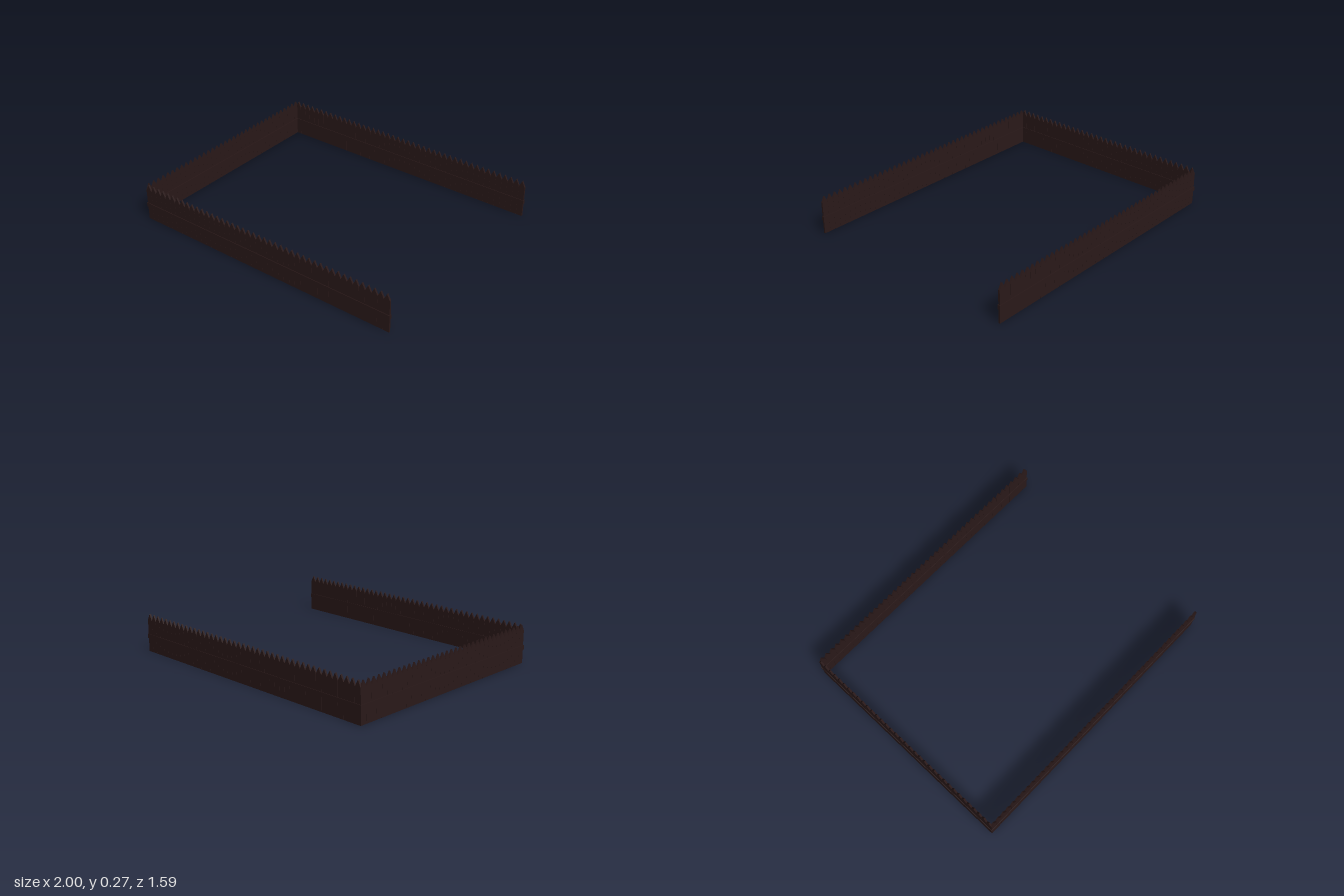
import * as THREE from 'three';

const PEAK = 0.268, SHOULDER = 0.225;   // picket heights
const PICKET_DEPTH = 0.012, RAIL_DEPTH = 0.02, RAIL_HEIGHT = 0.03, RAIL_Y = 0.11;

const wood = new THREE.MeshStandardMaterial({ color: 0x2a1919, roughness: 0.9, flatShading: true });

// One flat board with a pointed top, centred on its own depth
function picketGeometry(width) {
  const w = width / 2;
  const shape = new THREE.Shape([
    new THREE.Vector2(-w, 0),
    new THREE.Vector2(w, 0),
    new THREE.Vector2(w, SHOULDER),
    new THREE.Vector2(0, PEAK),
    new THREE.Vector2(-w, SHOULDER),
  ]);
  const geometry = new THREE.ExtrudeGeometry(shape, { depth: PICKET_DEPTH, bevelEnabled: false });
  return geometry.translate(0, 0, -PICKET_DEPTH / 2);
}

// A straight run of pickets along x, threaded on one rail
function createWall(name, length, count, railLength) {
  const wall = new THREE.Group();
  wall.name = name;
  const pitch = length / count;
  const geometry = picketGeometry(pitch - 0.0006);
  for (let i = 0; i < count; i++) {
    const picket = new THREE.Mesh(geometry, wood);
    picket.name = 'picket';
    picket.position.x = (i + 0.5) * pitch - length / 2;
    wall.add(picket);
  }
  const rail = new THREE.Mesh(new THREE.BoxGeometry(railLength, RAIL_HEIGHT, RAIL_DEPTH), wood);
  rail.name = 'rail';
  rail.position.y = RAIL_Y;
  wall.add(rail);
  return wall;
}

export function createModel() {
  const model = new THREE.Group();
  model.name = 'palisadeFence';

  // Two long walls
  for (const side of [1, -1]) {
    const wall = createWall(side > 0 ? 'frontWall' : 'backWall', 1.99, 45, 1.996);
    wall.position.set(0.002, 0, side * 0.785);
    model.add(wall);
  }

  // Closing wall; the opposite end stays open
  const endWall = createWall('rightWall', 1.58, 36, 1.59);
  endWall.rotation.y = Math.PI / 2;
  endWall.position.x = -0.99;
  model.add(endWall);

  return model;
}
